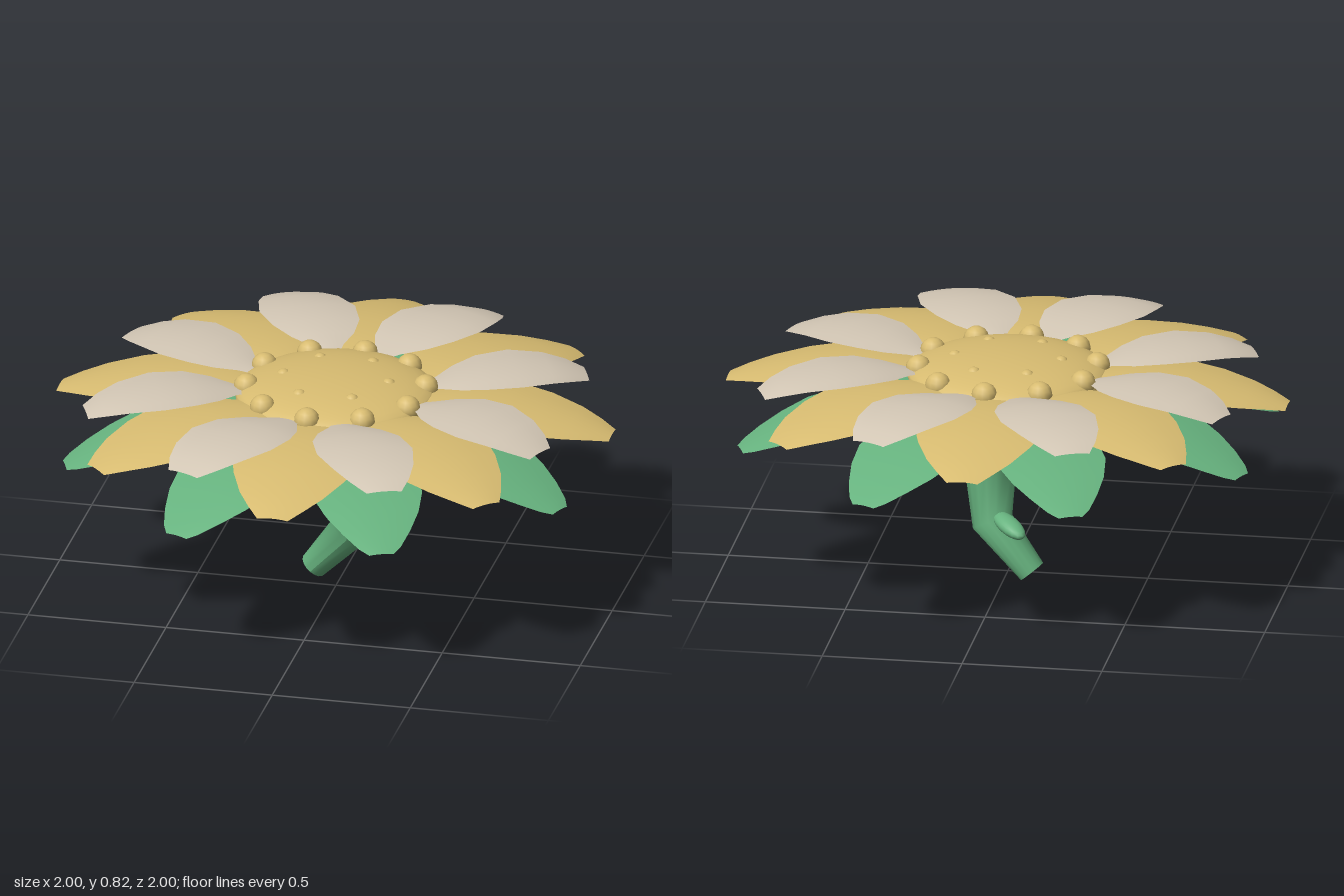
import * as THREE from 'three';

const mat = (name, color, side = THREE.FrontSide) => {
  const m = new THREE.MeshStandardMaterial({ color, side });
  m.name = name;
  return m;
};

// Petal sheet along +x from rows of [radius, half width, height]; edges droop, axis may lean
function petalGeometry(rows, droop, lean = 0) {
  const across = 6, pos = [], idx = [];
  rows.forEach(([r, w, y], i) => {
    for (let j = 0; j <= across; j++) {
      const t = (j / across) * 2 - 1;
      pos.push(r, y - droop * t * t * (w / 0.2), w * t - lean * (r - 0.68));
      if (i && j) {
        const b = i * (across + 1) + j, a = b - across - 1;
        idx.push(a - 1, a, b - 1, a, b, b - 1);
      }
    }
  });
  const g = new THREE.BufferGeometry();
  g.setAttribute('position', new THREE.Float32BufferAttribute(pos, 3));
  g.setIndex(idx);
  g.computeVertexNormals();
  return g;
}

// Stem bent through points [x, y, z, radius], each ring square to the path
function stemGeometry(path) {
  const n = path.length - 1;
  const pts = path.map(([x, y, z]) => new THREE.Vector3(x, y, z));
  const turns = pts.map((p, i) => {
    const dir = pts[Math.min(i + 1, n)].clone().sub(pts[Math.max(i - 1, 0)]).normalize();
    return new THREE.Quaternion().setFromUnitVectors(new THREE.Vector3(0, 1, 0), dir);
  });
  const g = new THREE.CylinderGeometry(1, 1, 1, 16, n);
  const p = g.attributes.position, v = new THREE.Vector3();
  for (let i = 0; i < p.count; i++) {
    const k = Math.round((p.getY(i) + 0.5) * n);
    v.set(p.getX(i) * path[k][3], 0, p.getZ(i) * path[k][3]);
    v.applyQuaternion(turns[k]).add(pts[k]);
    p.setXYZ(i, v.x, v.y, v.z);
  }
  g.computeVertexNormals();
  return g;
}

export function createModel() {
  const green = mat('leaf green', 0x66b27e);
  const greenSheet = mat('leaf green', 0x66b27e, THREE.DoubleSide);
  const gold = mat('petal gold', 0xd8bc71);
  const goldSheet = mat('petal gold', 0xd8bc71, THREE.DoubleSide);
  const cream = mat('petal cream', 0xd3c7b5, THREE.DoubleSide);

  const root = new THREE.Group();
  root.name = 'flower';
  const add = (name, geometry, material, parent = root) => {
    const m = new THREE.Mesh(geometry, material);
    m.name = name;
    parent.add(m);
    return m;
  };

  // Three rings of eight petals
  const ring = (name, material, rows, droop, start, lean = 0) => {
    const group = new THREE.Group();
    group.name = name + 's';
    root.add(group);
    const shapes = [petalGeometry(rows, droop, lean), petalGeometry(rows, droop, -lean)];
    for (let k = 0; k < 8; k++)
      add(name, shapes[k % 2], material, group).rotation.y = start + (k * Math.PI) / 4;
  };
  ring('sepal', greenSheet, [
    [0.34, 0.07, 0.705], [0.45, 0.14, 0.7], [0.56, 0.19, 0.68], [0.68, 0.195, 0.65],
    [0.78, 0.165, 0.615], [0.87, 0.12, 0.58], [0.94, 0.075, 0.548], [0.97, 0.043, 0.532],
  ], 0.015, Math.PI / 8);
  ring('outerPetal', goldSheet, [
    [0.3, 0.09, 0.752], [0.4, 0.165, 0.763], [0.5, 0.22, 0.765], [0.62, 0.232, 0.759],
    [0.74, 0.2, 0.744], [0.86, 0.15, 0.719], [0.94, 0.1, 0.697], [1.0, 0.055, 0.676],
  ], 0.018, 0);
  ring('innerPetal', cream, [
    [0.29, 0.015, 0.752], [0.36, 0.055, 0.768], [0.43, 0.112, 0.783], [0.52, 0.155, 0.797],
    [0.64, 0.171, 0.8], [0.76, 0.142, 0.787], [0.84, 0.105, 0.766], [0.9, 0.062, 0.742],
  ], 0.015, Math.PI / 8, 0.1);

  // Green bowl under the petals, closed by a flat lid
  const bowl = [[0, 0.57], [0.12, 0.575], [0.24, 0.596], [0.35, 0.632], [0.43, 0.675], [0.47, 0.722]];
  add('calyxBowl', new THREE.LatheGeometry(bowl.map(([x, y]) => new THREE.Vector2(x, y)), 32), green);
  const lid = add('calyxLid', new THREE.CircleGeometry(0.47, 32), green);
  lid.rotation.x = -Math.PI / 2;
  lid.position.y = 0.722;

  // Seed disc with a rim of beads and six low bumps
  const disc = add('seedDisc', new THREE.SphereGeometry(1, 32, 20), gold);
  disc.scale.set(0.357, 0.08, 0.357);
  disc.position.y = 0.735;
  const beads = (name, count, radius, y, size, start) => {
    const g = new THREE.SphereGeometry(size, 12, 8);
    for (let k = 0; k < count; k++) {
      const a = start + (k * 2 * Math.PI) / count;
      add(name, g, gold).position.set(radius * Math.cos(a), y, -radius * Math.sin(a));
    }
  };
  beads('rimBead', 10, 0.316, 0.762, 0.046, THREE.MathUtils.degToRad(84));
  beads('seedBump', 6, 0.19, 0.783, 0.028, 0);

  // Crooked stem
  add('stem', stemGeometry([
    [-0.1, 0.03, -0.085, 0.05], [0.045, 0.2, -0.06, 0.075],
    [0.072, 0.42, 0.04, 0.1], [0.01, 0.6, 0.0, 0.14],
  ]), green);

  // Two small leaf buds, each stretched between two end points
  const bud = (a, b, width, thick) => {
    const from = new THREE.Vector3(...a), to = new THREE.Vector3(...b);
    const m = add('leafBud', new THREE.SphereGeometry(1, 16, 12), green);
    m.position.copy(from).add(to).multiplyScalar(0.5);
    m.lookAt(to);
    m.scale.set(width, thick, from.distanceTo(to) / 2);
  };
  bud([0.04, 0.355, 0.135], [0.225, 0.435, -0.005], 0.045, 0.027);
  bud([0.03, 0.24, -0.08], [-0.085, 0.195, -0.205], 0.04, 0.028);

  return root;
}
